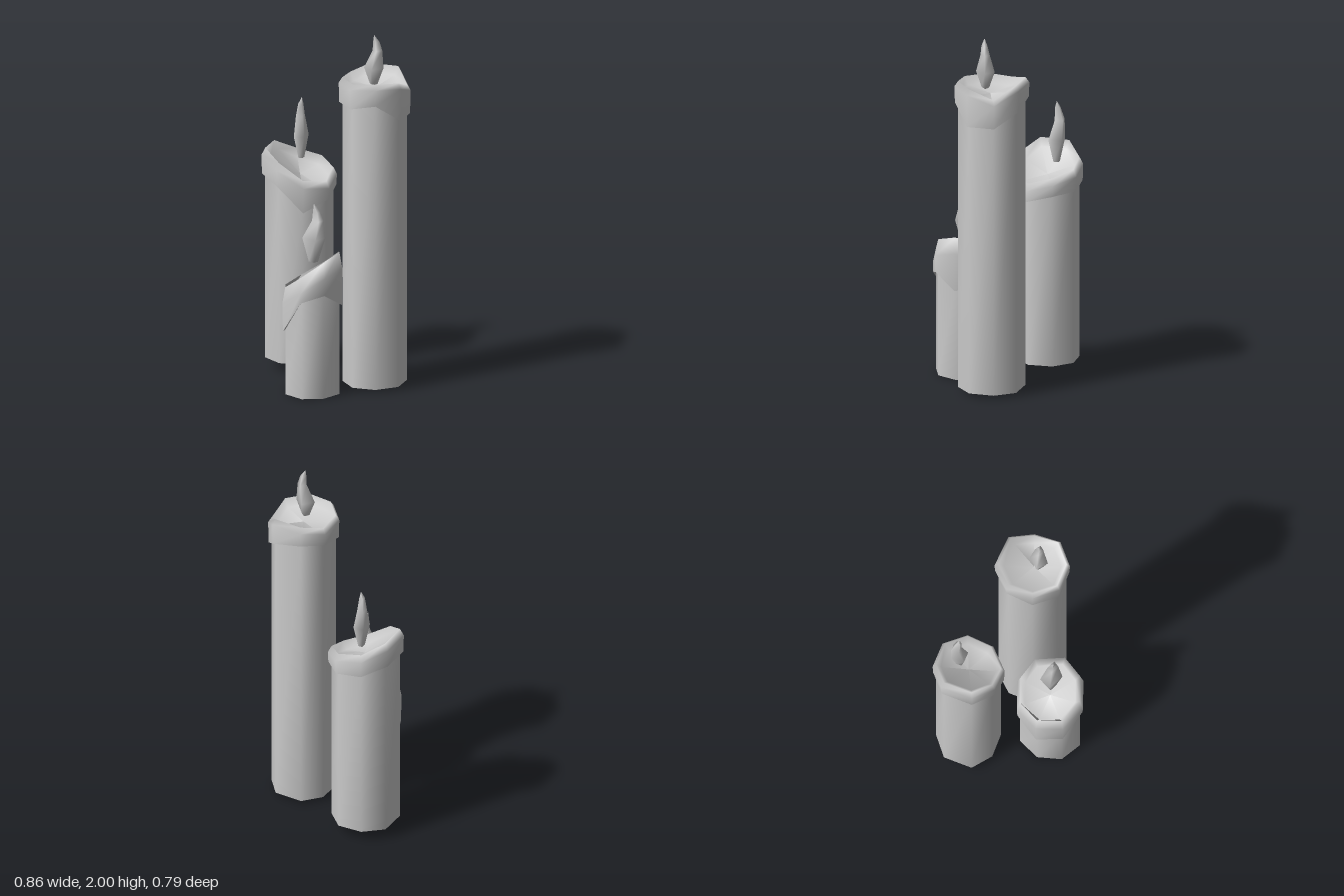
import * as THREE from 'three';

const material = new THREE.MeshStandardMaterial({ color: 0xcccccc, side: THREE.DoubleSide });

// Smooth skin over rings of points (listed bottom to top, outside first)
function loft(name, rings) {
  const n = rings[0].length;
  const index = [];
  for (let j = 0; j < rings.length - 1; j++) {
    for (let i = 0; i < n; i++) {
      const k = (i + 1) % n;
      const a = j * n + i, b = j * n + k, c = a + n, d = b + n;
      index.push(a, c, b, b, c, d);
    }
  }
  const geometry = new THREE.BufferGeometry();
  geometry.setAttribute('position', new THREE.Float32BufferAttribute(rings.flat(2), 3));
  geometry.setIndex(index);
  geometry.computeVertexNormals();
  const mesh = new THREE.Mesh(geometry, material);
  mesh.name = name;
  return mesh;
}

// outline: rim corners [x, z, crest height, skirt bottom height]
function makeCandle({ name, centre, base, drop, floor, outline, flame }) {
  const [cx, cz] = centre;
  const ring = (scale, height) => outline.map(([x, z, top, skirt]) =>
    [cx + (x - cx) * scale, height(top, skirt), cz + (z - cz) * scale]);
  const candle = new THREE.Group();
  candle.name = name;

  // Straight wax column with a flat base
  const foot = ring(0.9, () => base);
  candle.add(loft('body', [foot, ring(0.9, (t, s) => s + 0.01)]));
  candle.add(loft('base', [ring(0, () => base), foot]));

  // Melted rim: underside of the drip, outer skirt, crest, and hollow pool
  const skirt = ring(0.985, (t, s) => s);
  candle.add(loft('rimUnderside', [ring(0.9, (t, s) => s + 0.01), skirt]));
  candle.add(loft('meltedRim', [
    skirt,
    ring(1, (t) => t - drop),
    ring(0.9, (t) => t),
    ring(0.76, (t) => t - 0.045),
    ring(0, () => floor),
  ]));

  // Four-sided flame with a bent tip; sections are [x, y, z, size]
  const sections = flame.sections.map(([x, y, z, size]) =>
    flame.corners.map(([dx, dz]) => [x + dx * size, y, z + dz * size]));
  candle.add(loft('flame', sections));
  return candle;
}

export function createModel() {
  const model = new THREE.Group();
  model.name = 'candles';

  model.add(makeCandle({
    name: 'tallCandle', centre: [0.24, 0.005], base: 0.02, drop: 0.03, floor: 1.69,
    outline: [
      [0.16, -0.195, 1.77, 1.66], [0.34, -0.175, 1.77, 1.62],
      [0.425, -0.055, 1.70, 1.54], [0.41, 0.10, 1.75, 1.54],
      [0.29, 0.195, 1.76, 1.64], [0.145, 0.185, 1.75, 1.61],
      [0.05, 0.06, 1.75, 1.61], [0.06, -0.095, 1.74, 1.64],
    ],
    flame: {
      corners: [[0, -0.052], [0.053, -0.008], [0, 0.052], [-0.053, 0.004]],
      sections: [
        [0.24, 1.71, 0.033, 0], [0.24, 1.72, 0.033, 0.4], [0.24, 1.81, 0.033, 1],
        [0.26, 1.91, 0.03, 0.5], [0.255, 1.96, 0.035, 0.33], [0.243, 2, 0.037, 0],
      ],
    },
  }));

  model.add(makeCandle({
    name: 'middleCandle', centre: [-0.235, -0.21], base: 0.06, drop: 0.04, floor: 1.1,
    outline: [
      [-0.30, -0.395, 1.19, 1.06], [-0.145, -0.39, 1.16, 1.04],
      [-0.045, -0.28, 1.13, 1.03], [-0.05, -0.13, 1.09, 0.99],
      [-0.17, -0.025, 1.11, 0.93], [-0.32, -0.03, 1.20, 1.07],
      [-0.43, -0.125, 1.255, 1.11], [-0.42, -0.305, 1.25, 1.11],
    ],
    flame: {
      corners: [[-0.028, -0.04], [0.034, -0.036], [0.03, 0.04], [-0.031, 0.036]],
      sections: [
        [-0.24, 1.17, -0.26, 0], [-0.24, 1.175, -0.26, 0.4], [-0.242, 1.3, -0.26, 1],
        [-0.25, 1.41, -0.275, 0.6], [-0.245, 1.48, -0.265, 0.35], [-0.237, 1.52, -0.262, 0],
      ],
    },
  }));

  model.add(makeCandle({
    name: 'shortCandle', centre: [-0.06, 0.2], base: 0, drop: 0.09, floor: 0.6,
    outline: [
      [-0.04, 0.005, 0.68, 0.50], [0.065, 0.06, 0.76, 0.52],
      [0.115, 0.235, 0.81, 0.51], [0.045, 0.355, 0.775, 0.59],
      [-0.08, 0.395, 0.695, 0.55], [-0.20, 0.32, 0.61, 0.36],
      [-0.235, 0.175, 0.585, 0.32], [-0.17, 0.045, 0.61, 0.42],
    ],
    flame: {
      corners: [[-0.033, -0.055], [0.062, -0.01], [0.022, 0.055], [-0.063, 0.01]],
      sections: [
        [-0.055, 0.73, 0.205, 0], [-0.055, 0.735, 0.205, 0.4], [-0.052, 0.87, 0.205, 1],
        [-0.03, 0.97, 0.205, 0.5], [-0.035, 1.02, 0.21, 0.33], [-0.05, 1.07, 0.215, 0],
      ],
    },
  }));

  return model;
}
